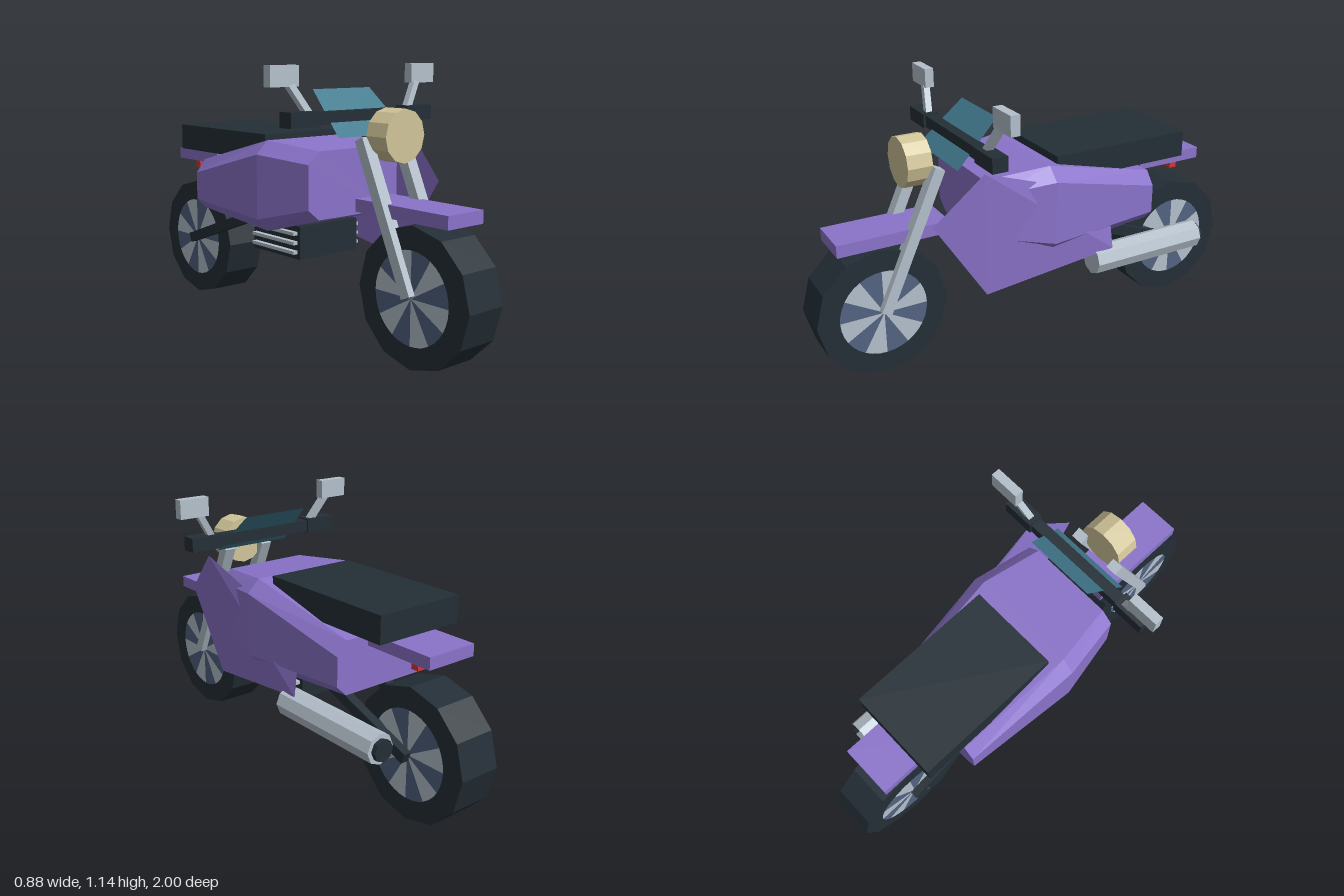
import * as THREE from 'three';
import { mergeGeometries } from 'three/addons/utils/BufferGeometryUtils.js';

function makeMaterial(name, color, side = THREE.FrontSide) {
  const m = new THREE.MeshStandardMaterial({ color, side });
  m.name = name;
  return m;
}

// Faceted copy of a geometry
function flat(geometry) {
  const g = geometry.index ? geometry.toNonIndexed() : geometry;
  g.computeVertexNormals();
  return g;
}

// Triangles from a list of points and corner indices
function faces(points, indices) {
  const g = new THREE.BufferGeometry();
  g.setAttribute('position', new THREE.Float32BufferAttribute(points.flat(), 3));
  g.setIndex(indices);
  return flat(g);
}

// Closed loft through rings listed from front to back, each counterclockwise from the front
function loft(rings) {
  const n = rings[0].length, last = (rings.length - 1) * n, idx = [];
  for (let r = 0; r < rings.length - 1; r++) {
    for (let i = 0; i < n; i++) {
      const a = r * n + i, b = r * n + (i + 1) % n;
      idx.push(a, a + n, b + n, a, b + n, b);
    }
  }
  for (let i = 1; i < n - 1; i++) idx.push(0, i, i + 1, last, last + i + 1, last + i);
  return faces(rings.flat(), idx);
}

export function createModel() {
  const group = new THREE.Group();
  group.name = 'motorcycle';

  const purple = makeMaterial('purple paint', 0x8a73ca, THREE.DoubleSide);
  const dark = makeMaterial('dark rubber', 0x232e36);
  const steel = makeMaterial('light steel', 0xb4c0cb);
  const slate = makeMaterial('slate blue', 0x526380);
  const cream = makeMaterial('cream lamp', 0xd0c498);
  const teal = makeMaterial('teal glass', 0x417a8e, THREE.DoubleSide);
  const red = makeMaterial('red lamp', 0xd2353a);

  function add(name, geometry, material, parent = group) {
    const mesh = new THREE.Mesh(geometry, material);
    mesh.name = name;
    parent.add(mesh);
    return mesh;
  }
  // Box from its lower and upper limits on each axis
  function box(name, material, x0, x1, y0, y1, z0, z1) {
    const m = add(name, new THREE.BoxGeometry(x1 - x0, y1 - y0, z1 - z0), material);
    m.position.set((x0 + x1) / 2, (y0 + y1) / 2, (z0 + z1) / 2);
    return m;
  }
  // Straight square bar between two points
  function bar(name, material, from, to, width, depth) {
    const a = new THREE.Vector3(...from), b = new THREE.Vector3(...to);
    const dir = b.clone().sub(a);
    const m = add(name, new THREE.BoxGeometry(width, dir.length(), depth), material);
    m.position.copy(a).add(b).multiplyScalar(0.5);
    m.quaternion.setFromUnitVectors(new THREE.Vector3(0, 1, 0), dir.normalize());
    return m;
  }
  // Faceted cylinder lying along z
  function barrel(name, material, radius, sides, x, y, z0, z1) {
    const g = new THREE.CylinderGeometry(radius, radius, z1 - z0, sides).rotateX(Math.PI / 2);
    add(name, flat(g), material).position.set(x, y, (z0 + z1) / 2);
  }

  // Wheels: twelve-sided tyre with two-tone sector discs on both sides
  function wheel(name, z) {
    const w = new THREE.Group();
    w.name = name;
    w.position.set(0, 0.278, z);
    add('tyre', flat(new THREE.CylinderGeometry(0.278, 0.278, 0.185, 12).rotateZ(Math.PI / 2)), dark, w);
    const step = Math.PI / 6;
    for (const [label, material, parity] of [['lightSpokes', steel, 0], ['darkSpokes', slate, 1]]) {
      const parts = [];
      for (const s of [1, -1]) {
        for (let k = parity; k < 12; k += 2) {
          const start = s > 0 ? k * step : Math.PI - (k + 1) * step;
          parts.push(new THREE.CircleGeometry(0.185, 1, start, step)
            .rotateY(s * Math.PI / 2).translate(s * 0.095, 0, 0));
        }
      }
      add(label, mergeGeometries(parts), material, w);
    }
    group.add(w);
  }
  wheel('frontWheel', 0.722);
  wheel('rearWheel', -0.722);

  // Body: three chamfered sections; wide, chamfered width, then four heights
  const section = (z, w, c, y0, y1, y2, y3) => [
    [c, y0, z], [w, y1, z], [w, y2, z], [c, y3, z],
    [-c, y3, z], [-w, y2, z], [-w, y1, z], [-c, y0, z],
  ];
  add('body', loft([
    section(0.31, 0.245, 0.19, 0.525, 0.57, 0.75, 0.80),
    section(0.035, 0.29, 0.235, 0.445, 0.50, 0.77, 0.825),
    section(-0.485, 0.245, 0.2, 0.47, 0.514, 0.637, 0.695),
  ]), purple);

  // Thin side fairing on the left only
  add('sideFairing', faces([
    [0.236, 0.67, 0.555], [0.237, 0.32, 0.33], [0.277, 0.405, -0.26],
    [0.24, 0.65, -0.25], [0.277, 0.865, 0.35],
  ], [0, 1, 4, 1, 2, 4, 2, 3, 4]), purple);

  // Seat, fenders and tail lamp
  box('seat', dark, -0.203, 0.203, 0.73, 0.843, -0.67, -0.02);
  box('frontFender', purple, -0.097, 0.097, 0.565, 0.617, 0.42, 0.895);
  box('rearFender', purple, -0.115, 0.115, 0.663, 0.713, -0.835, -0.51);
  box('tailLamp', red, -0.08, 0.08, 0.622, 0.664, -0.745, -0.71);

  // Engine block
  box('engine', dark, -0.16, 0.16, 0.33, 0.47, -0.16, 0.155);
  for (const y of [0.36, 0.4, 0.44]) {
    box('coolingFin', steel, -0.183, 0.183, y - 0.007, y + 0.007, -0.145, 0.14);
  }

  // Headlamp and sloping windscreen
  barrel('headlamp', cream, 0.105, 12, 0, 0.868, 0.485, 0.59);
  add('windscreen', faces([
    [-0.187, 0.86, 0.42], [0.187, 0.86, 0.42], [0.155, 1.038, 0.23], [-0.155, 1.038, 0.23],
  ], [0, 1, 2, 0, 2, 3]), teal);

  // Handlebar
  box('handlebar', dark, -0.24, 0.24, 0.907, 0.957, 0.312, 0.362);

  // Paired parts
  for (const s of [1, -1]) {
    const side = s > 0 ? 'left' : 'right';
    const pair = (name, material, x0, x1, ...rest) =>
      box(side + name, material, Math.min(s * x0, s * x1), Math.max(s * x0, s * x1), ...rest);
    bar(side + 'Fork', steel, [s * 0.1, 0.285, 0.722], [s * 0.1, 0.855, 0.465], 0.052, 0.045);
    bar(side + 'SwingArm', dark, [s * 0.11, 0.275, -0.735], [s * 0.11, 0.45, -0.25], 0.04, 0.045);
    pair('Grip', dark, 0.238, 0.382, 0.902, 0.963, 0.305, 0.372);
    bar(side + 'MirrorStem', steel, [s * 0.265, 0.945, 0.338], [s * 0.35, 1.075, 0.31], 0.028, 0.028);
    pair('Mirror', steel, 0.306, 0.442, 1.055, 1.136, 0.288, 0.327);
  }

  // Exhaust with a dark outlet, left only
  barrel('exhaust', steel, 0.063, 8, 0.243, 0.352, -0.73, -0.175);
  barrel('exhaustOutlet', dark, 0.045, 8, 0.243, 0.352, -0.75, -0.7);

  return group;
}
